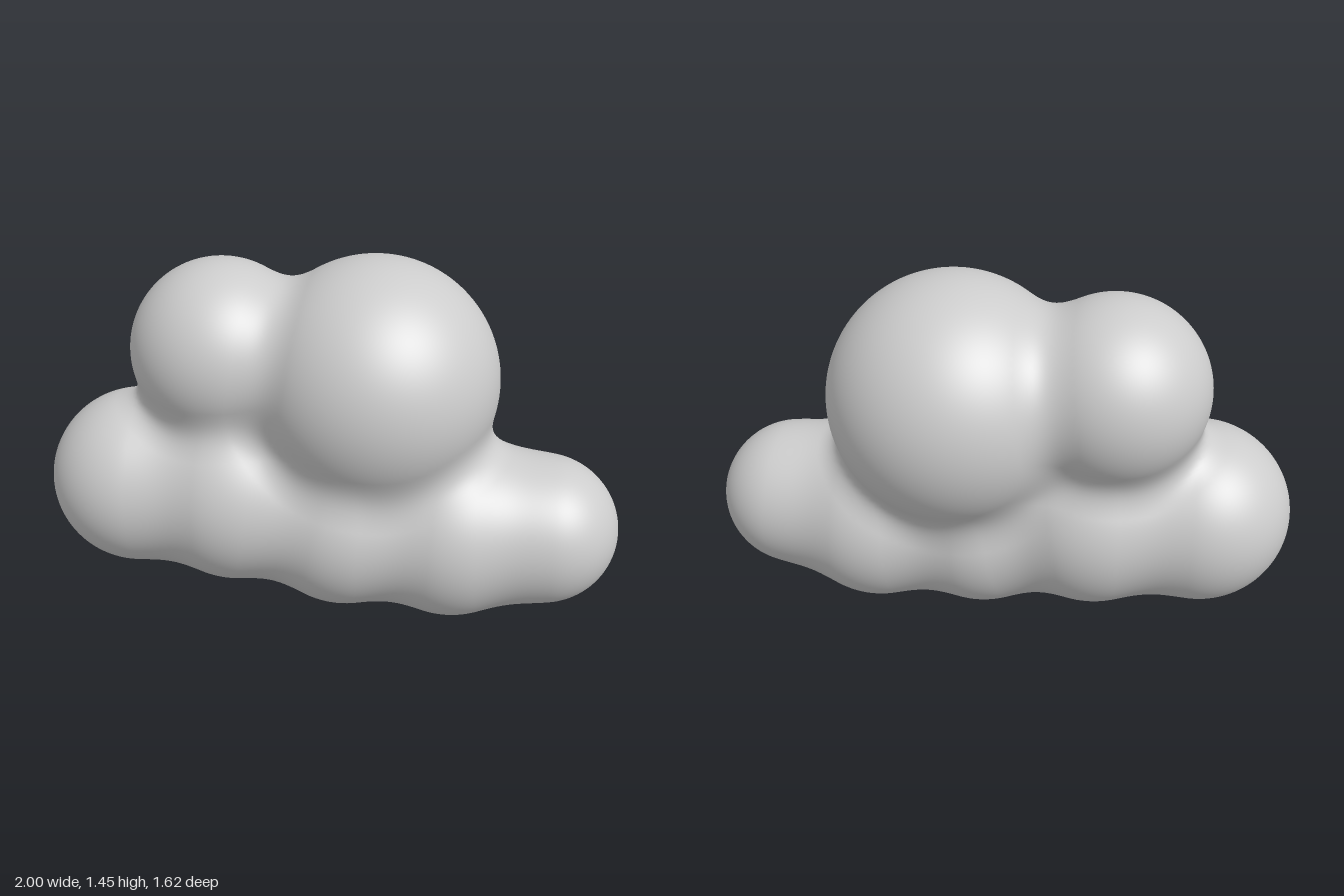
import * as THREE from 'three';

// Puffs of the cloud: x, y, z, radius (lower row from one end to the other, then the two upper puffs)
const puffs = [
  [-0.64, 0.49, 0.45, 0.36],
  [-0.31, 0.485, 0.2, 0.4],
  [0.06, 0.405, -0.05, 0.385],
  [0.4, 0.385, -0.31, 0.38],
  [0.7, 0.4, -0.515, 0.3],
  [-0.4, 1.055, 0.18, 0.36],
  [0.095, 0.97, -0.17, 0.485],
];
const BLEND = 0.13; // width of the soft fillet between puffs
const CELL = 0.02;

// Signed distance to the softly merged puffs
function distance(x, y, z) {
  let d = Infinity;
  for (const [cx, cy, cz, r] of puffs) {
    const s = Math.hypot(x - cx, y - cy, z - cz) - r;
    const h = Math.max(BLEND - Math.abs(d - s), 0);
    d = Math.min(d, s) - (h * h) / (4 * BLEND);
  }
  return d;
}

function gradient(p) {
  const e = 0.001;
  return new THREE.Vector3(
    distance(p.x + e, p.y, p.z) - distance(p.x - e, p.y, p.z),
    distance(p.x, p.y + e, p.z) - distance(p.x, p.y - e, p.z),
    distance(p.x, p.y, p.z + e) - distance(p.x, p.y, p.z - e),
  ).normalize();
}

// Smooth skin over the merged puffs: one vertex per crossed cell, one quad per crossed grid edge
function cloudGeometry() {
  const min = [-1.07, -0.07, -0.89];
  const n = [108, 80, 90];
  const step = [1, n[0], n[0] * n[1]];
  const field = new Float32Array(n[0] * n[1] * n[2]);
  const eachPoint = (fn) => {
    for (let k = 1; k < n[2] - 1; k++)
      for (let j = 1; j < n[1] - 1; j++)
        for (let i = 1; i < n[0] - 1; i++) fn(i, j, k, i + j * step[1] + k * step[2]);
  };
  field.fill(1);
  eachPoint((i, j, k, id) => {
    field[id] = distance(min[0] + i * CELL, min[1] + j * CELL, min[2] + k * CELL);
  });

  // Vertices: mean of the edge crossings, then pulled onto the surface
  const positions = [], normals = [], indices = [];
  const vertexOf = new Map();
  eachPoint((i, j, k, id) => {
    const sum = new THREE.Vector3();
    let count = 0;
    for (let c = 0; c < 8; c++) {
      const corner = [c & 1, (c >> 1) & 1, (c >> 2) & 1];
      const a = id + corner[0] * step[0] + corner[1] * step[1] + corner[2] * step[2];
      for (let axis = 0; axis < 3; axis++) {
        if (corner[axis]) continue;
        const f0 = field[a], f1 = field[a + step[axis]];
        if (f0 < 0 === f1 < 0) continue;
        const q = corner.slice();
        q[axis] = f0 / (f0 - f1);
        sum.add(new THREE.Vector3(...q));
        count++;
      }
    }
    if (!count) return;
    const p = sum.divideScalar(count).add(new THREE.Vector3(i, j, k))
      .multiplyScalar(CELL).add(new THREE.Vector3(...min));
    for (let t = 0; t < 3; t++) p.addScaledVector(gradient(p), -distance(p.x, p.y, p.z));
    vertexOf.set(id, positions.length / 3);
    positions.push(p.x, p.y, p.z);
    normals.push(...gradient(p).toArray());
  });

  // Quads
  eachPoint((i, j, k, id) => {
    for (let axis = 0; axis < 3; axis++) {
      const inside = field[id] < 0;
      if (inside === field[id + step[axis]] < 0) continue;
      const b = step[(axis + 1) % 3], c = step[(axis + 2) % 3];
      const quad = [id - b - c, id - c, id, id - b].map((cell) => vertexOf.get(cell));
      if (!inside) quad.reverse();
      indices.push(quad[0], quad[1], quad[2], quad[0], quad[2], quad[3]);
    }
  });

  const geometry = new THREE.BufferGeometry();
  geometry.setAttribute('position', new THREE.Float32BufferAttribute(positions, 3));
  geometry.setAttribute('normal', new THREE.Float32BufferAttribute(normals, 3));
  geometry.setIndex(indices);
  return geometry;
}

export function createModel() {
  const cloudGrey = new THREE.MeshStandardMaterial({ color: 0xcccccc });
  cloudGrey.name = 'cloud grey';

  const group = new THREE.Group();
  group.name = 'cloud';
  const body = new THREE.Mesh(cloudGeometry(), cloudGrey);
  body.name = 'cloudPuffs';
  group.add(body);
  return group;
}
